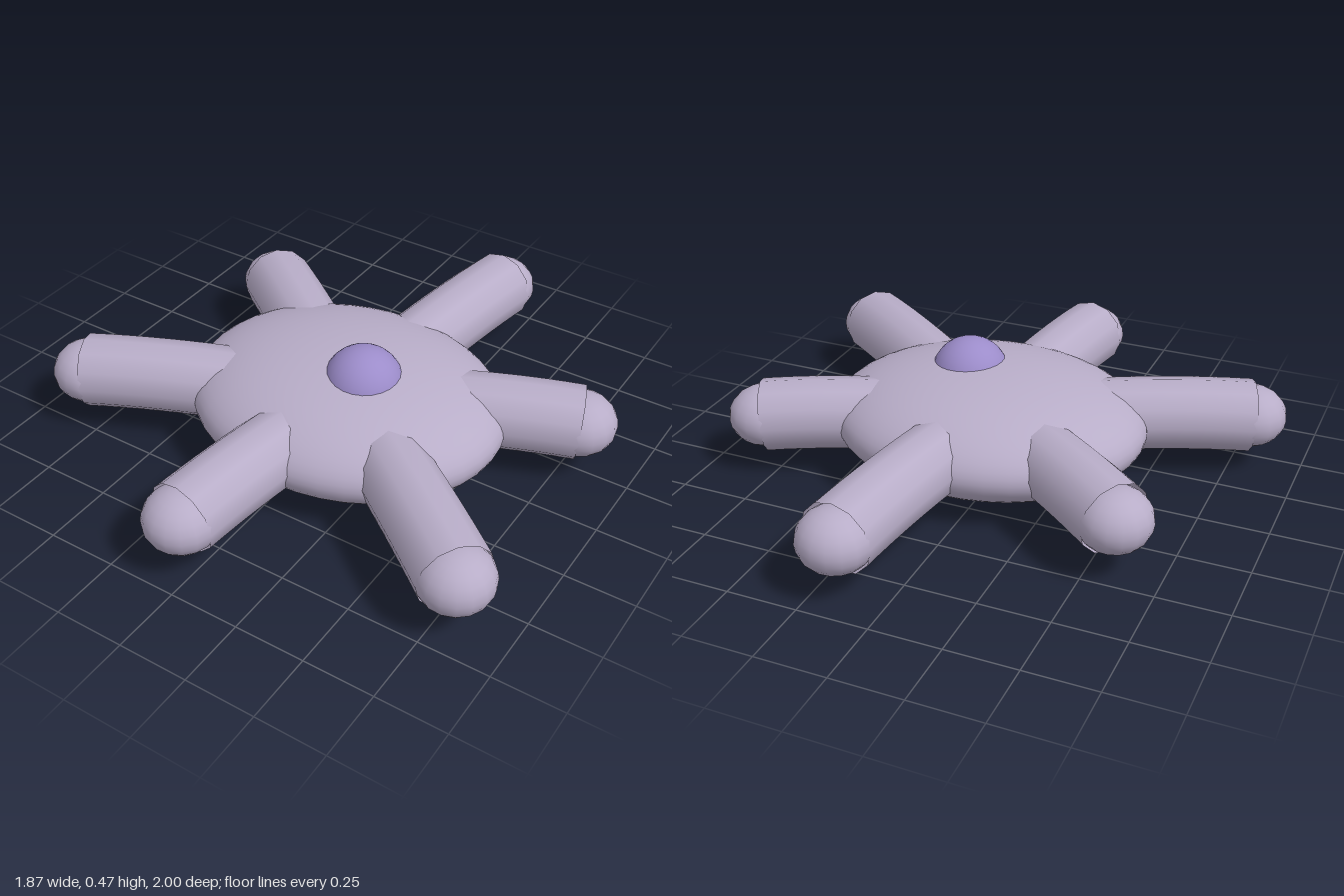
import * as THREE from 'three';

export function createModel() {
  const group = new THREE.Group();
  const membrane = new THREE.MeshStandardMaterial({ color: 0xb8adc8, side: THREE.DoubleSide });
  membrane.name = 'pale lilac';
  const violet = new THREE.MeshStandardMaterial({ color: 0x9c8cca });
  violet.name = 'violet';

  const add = (name, geometry, material, position) => {
    const mesh = new THREE.Mesh(geometry, material);
    mesh.name = name;
    mesh.position.copy(position);
    group.add(mesh);
    return mesh;
  };

  // flattened cell body
  const centre = new THREE.Vector3(0.055, 0.2, 0.06);
  add('body', new THREE.SphereGeometry(1, 40, 28), membrane, centre).scale.set(0.577, 0.2, 0.483);

  // nucleus dome showing through the top
  add('nucleus', new THREE.SphereGeometry(0.14, 24, 18), violet, new THREE.Vector3(0.15, 0.33, 0.11));

  // radiating arms: a slightly arched open tube with a flattened round tip
  const tips = [[0.17, -0.87], [0.8, -0.25], [0.805, 0.63], [-0.045, 0.87], [-0.81, 0.43], [-0.585, -0.425]];
  for (const [x, z] of tips) {
    const tip = new THREE.Vector3(x, 0.205, z);
    const start = centre.clone().lerp(tip, 0.25);
    const middle = start.clone().lerp(tip, 0.55).setY(0.227);
    const path = new THREE.QuadraticBezierCurve3(start, middle, tip);
    add('arm', new THREE.TubeGeometry(path, 10, 0.131, 12, false), membrane, new THREE.Vector3());
    const cap = add('armTip', new THREE.SphereGeometry(0.13, 16, 12), membrane, tip);
    cap.scale.y = 0.84;
    cap.rotation.y = Math.atan2(x - centre.x, z - centre.z);
  }
  return group;
}
